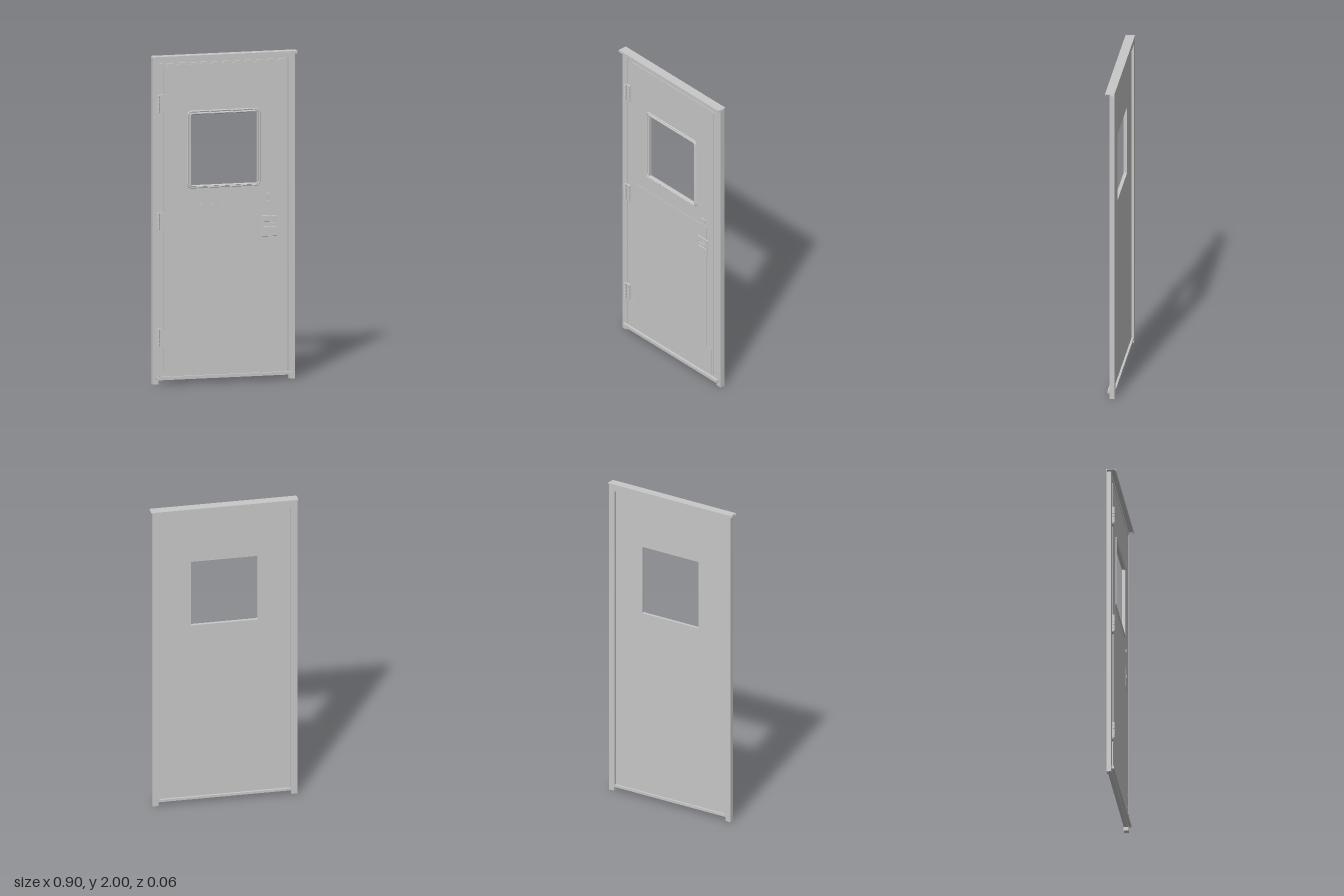
import * as THREE from 'three';

const steel = new THREE.MeshStandardMaterial({ color: 0xc8c8c8 });
steel.name = 'light grey steel';

export function createModel() {
  const model = new THREE.Group();
  model.name = 'door';

  const add = (name, geometry, parent = model) => {
    const mesh = new THREE.Mesh(geometry, steel);
    mesh.name = name;
    parent.add(mesh);
    return mesh;
  };

  // box given by its limits on each axis
  const box = (name, x0, x1, y0, y1, z0, z1, parent) => {
    const mesh = add(name, new THREE.BoxGeometry(x1 - x0, y1 - y0, z1 - z0), parent);
    mesh.position.set((x0 + x1) / 2, (y0 + y1) / 2, (z0 + z1) / 2);
    return mesh;
  };

  // rectangle with rounded corners, as a shape or a hole
  const rect = (Type, x0, x1, y0, y1, r) => {
    const p = new Type();
    p.moveTo(x0 + r, y0);
    p.lineTo(x1 - r, y0);
    if (r) p.absarc(x1 - r, y0 + r, r, -Math.PI / 2, 0);
    p.lineTo(x1, y1 - r);
    if (r) p.absarc(x1 - r, y1 - r, r, 0, Math.PI / 2);
    p.lineTo(x0 + r, y1);
    if (r) p.absarc(x0 + r, y1 - r, r, Math.PI / 2, Math.PI);
    p.lineTo(x0, y0 + r);
    if (r) p.absarc(x0 + r, y0 + r, r, Math.PI, Math.PI * 1.5);
    p.closePath();
    return p;
  };

  // sheet with a hole; a bevel chamfers its front edges
  const sheet = (name, outer, hole, z0, z1, bevel = 0) => {
    const shape = rect(THREE.Shape, ...outer);
    shape.holes.push(rect(THREE.Path, ...hole));
    const geometry = new THREE.ExtrudeGeometry(shape, {
      depth: z1 - z0 - bevel, curveSegments: 6, bevelEnabled: bevel > 0,
      bevelSize: bevel, bevelThickness: bevel, bevelOffset: -bevel, bevelSegments: 1,
    });
    add(name, geometry).position.z = z0;
  };

  // frame: two jambs with feet, head and bottom rail
  box('leftJamb', 0.398, 0.441, 0.025, 1.985, -0.029, 0);
  box('leftFoot', 0.405, 0.441, 0, 0.025, -0.029, 0);
  box('rightJamb', -0.445, -0.402, 0.025, 1.985, -0.029, 0);
  box('rightFoot', -0.445, -0.409, 0, 0.025, -0.029, 0);
  box('head', -0.402, 0.398, 1.956, 1.985, -0.029, 0);
  box('bottomRail', -0.402, 0.398, 0.025, 0.04, -0.029, -0.002);

  // drip cap over the head
  box('capPlate', -0.45, 0.449, 1.996, 2, -0.03, 0.027);
  box('capLip', -0.45, 0.449, 1.985, 1.996, 0.024, 0.027);
  box('capWeb', -0.445, 0.441, 1.985, 1.996, -0.029, -0.026);

  // door leaf: raised facing, core, and the recessed skin behind the seam
  const opening = [-0.204, 0.205, 1.203, 1.636, 0];
  sheet('doorFacing', [-0.374, 0.375, 0.062, 1.943, 0.015], opening, -0.004, 0);
  sheet('doorCore', [-0.399, 0.395, 0.043, 1.953, 0.006], opening, -0.014, -0.004);
  sheet('backSkin', [-0.402, 0.398, 0.04, 1.956, 0], opening, -0.016, -0.014);

  // window surround: two beads with a groove between them
  sheet('windowOuterBead', [-0.23, 0.224, 1.186, 1.66, 0.028], [-0.219, 0.213, 1.197, 1.649, 0.019], 0, 0.006, 0.003);
  sheet('windowInnerBead', [-0.217, 0.211, 1.194, 1.647, 0.018], [-0.204, 0.205, 1.203, 1.636, 0.008], 0, 0.006, 0.003);

  // lower panel and riveted kick plate
  box('lowerPanel', -0.328, 0.317, 0.235, 1.09, 0, 0.0025);
  box('kickPlate', -0.373, 0.358, 0.06, 0.235, -0.001, 0.003);
  const rivet = (x, y, z) => {
    const mesh = add('rivet', new THREE.CylinderGeometry(0.002, 0.002, 0.001, 8));
    mesh.rotation.x = Math.PI / 2;
    mesh.position.set(x, y, z);
  };
  for (let i = 0; i < 18; i++) rivet(-0.355 + i * 0.041, 0.075, 0.0035);
  for (const x of [-0.355, 0.342]) for (const y of [0.12, 0.165, 0.21]) rivet(x, y, 0.0035);
  for (const x of [-0.43, 0.428]) for (const y of [0.12, 0.62, 1.3, 1.87]) rivet(x, y, 0.0005);

  // threshold strip
  box('threshold', -0.425, 0.42, 0.027, 0.046, 0, 0.015);

  // hinges: leaf, knuckles, pin and screws
  for (const y of [0.285, 0.995, 1.71]) {
    const hinge = new THREE.Group();
    hinge.name = 'hinge';
    hinge.position.y = y;
    model.add(hinge);
    box('hingeLeaf', -0.416, -0.374, -0.055, 0.055, -0.004, 0.008, hinge);
    for (let i = 0; i < 5; i++) {
      const knuckle = add('knuckle', new THREE.CylinderGeometry(0.009, 0.009, 0.0195, 16), hinge);
      knuckle.position.set(-0.411, (i - 2) * 0.0208, 0.011);
    }
    add('hingePin', new THREE.CylinderGeometry(0.005, 0.005, 0.11, 12), hinge).position.set(-0.411, 0, 0.011);
    for (const dy of [-0.035, 0, 0.035]) {
      const screw = add('screw', new THREE.CylinderGeometry(0.004, 0.004, 0.001, 10), hinge);
      screw.rotation.x = Math.PI / 2;
      screw.position.set(-0.387, dy, 0.0085);
    }
  }

  // lock cylinder
  const lock = add('lock', new THREE.CylinderGeometry(0.017, 0.018, 0.004, 24));
  lock.rotation.x = Math.PI / 2;
  lock.position.set(0.28, 1.122, 0.002);
  box('keySlot', 0.2785, 0.2815, 1.115, 1.129, 0.003, 0.0045);

  // flush latch plate with its paddle
  sheet('latchPlate', [0.234, 0.328, 0.874, 1.001, 0.004], [0.247, 0.315, 0.934, 0.962, 0.002], 0, 0.006, 0.002);
  box('latchPaddle', 0.25, 0.312, 0.938, 0.958, 0, 0.007);

  return model;
}
